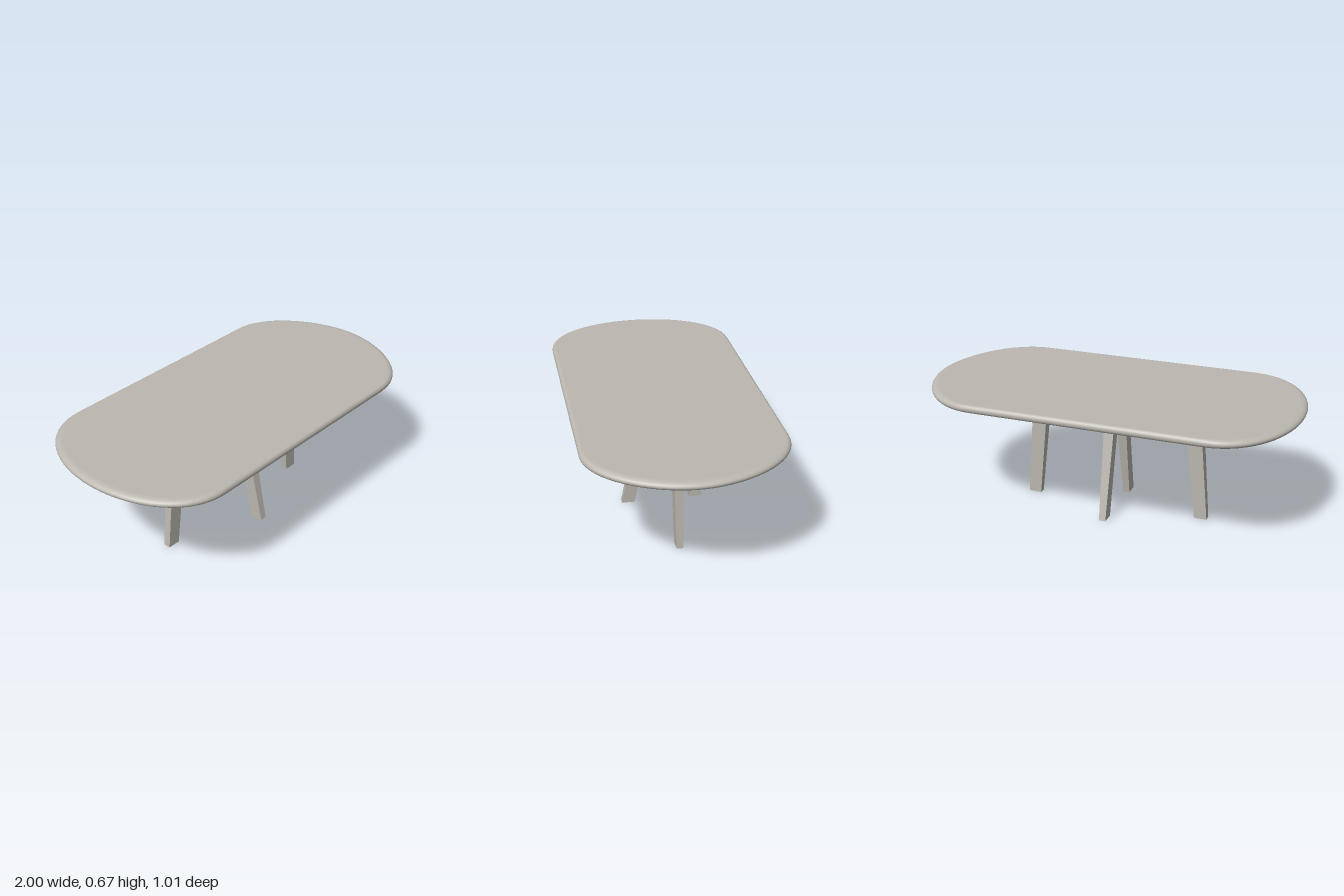
import * as THREE from 'three';
import { mergeVertices } from 'three/addons/utils/BufferGeometryUtils.js';

const stone = new THREE.MeshStandardMaterial({ color: 0xbcb8b0 });
stone.name = 'warm grey';

// Plan outline of the top: straight long sides, softly bowed ends
function outlinePoints(count) {
  const w = 0.505;
  const s = new THREE.Shape();
  s.moveTo(0, w);
  s.lineTo(0.61, w);
  s.bezierCurveTo(0.83, w, 1, 0.23, 1, 0);
  s.bezierCurveTo(1, -0.23, 0.83, -w, 0.61, -w);
  s.lineTo(-0.63, -w);
  s.bezierCurveTo(-0.87, -w, -1, -0.25, -1, 0);
  s.bezierCurveTo(-1, 0.25, -0.87, w, -0.63, w);
  s.lineTo(0, w);
  return s.getSpacedPoints(count);
}

// Rounded-edge slab: a lathe whose rings are remapped onto the outline
function makeTop() {
  const segments = 128, y0 = 0.625, y1 = 0.667;
  const mid = (y0 + y1) / 2, half = (y1 - y0) / 2;
  const profile = [new THREE.Vector2(0, y0), new THREE.Vector2(0.955, y0)];
  for (let i = 0; i <= 12; i++) {
    const a = -Math.PI / 2 + (Math.PI * i) / 12;
    profile.push(new THREE.Vector2(0.963 + 0.037 * Math.cos(a), mid + half * Math.sin(a)));
  }
  profile.push(new THREE.Vector2(0.955, y1), new THREE.Vector2(0, y1));

  const geo = new THREE.LatheGeometry(profile, segments);
  const outline = outlinePoints(segments);
  const pos = geo.attributes.position;
  for (let i = 0; i <= segments; i++) {
    const o = outline[i % segments];
    profile.forEach((p, j) => pos.setXYZ(i * profile.length + j, o.x * p.x, p.y, o.y * p.x));
  }
  geo.deleteAttribute('uv');
  geo.deleteAttribute('normal');
  const merged = mergeVertices(geo, 1e-5);
  merged.computeVertexNormals();
  return new THREE.Mesh(merged, stone);
}

// Splayed two-leg frame with a thin top rail, thinner towards the floor
function makeFrame(outerFoot, innerFoot, outerTop, innerTop) {
  const top = 0.627, rail = 0.6;
  const half = [[innerFoot, 0], [outerFoot, 0], [outerTop, top]];
  const points = [[innerTop, rail], ...half];
  const mirrored = points.map(([x, y]) => [-x, y]).reverse();
  const shape = new THREE.Shape([...points, ...mirrored].map(([x, y]) => new THREE.Vector2(x, y)));
  const geo = new THREE.ExtrudeGeometry(shape, { depth: 1, bevelEnabled: false });
  geo.translate(0, 0, -0.5);
  const pos = geo.attributes.position;
  for (let i = 0; i < pos.count; i++) {
    const thickness = 0.036 + (0.06 - 0.036) * (pos.getY(i) / top);
    pos.setZ(i, pos.getZ(i) * thickness);
  }
  geo.computeVertexNormals();
  return new THREE.Mesh(geo, stone);
}

export function createModel() {
  const table = new THREE.Group();
  table.name = 'diningTable';

  const top = makeTop();
  top.name = 'tableTop';

  // Two frames crossing under the centre of the top
  const base = new THREE.Group();
  base.name = 'crossedBase';
  const longFrame = makeFrame(0.512, 0.443, 0.462, 0.38);
  longFrame.name = 'longLegFrame';
  const shortFrame = makeFrame(0.222, 0.152, 0.088, 0.037);
  shortFrame.name = 'shortLegFrame';
  shortFrame.rotation.y = Math.PI / 2;
  base.add(longFrame, shortFrame);
  base.position.set(-0.0125, 0, -0.002);

  table.add(top, base);
  return table;
}
